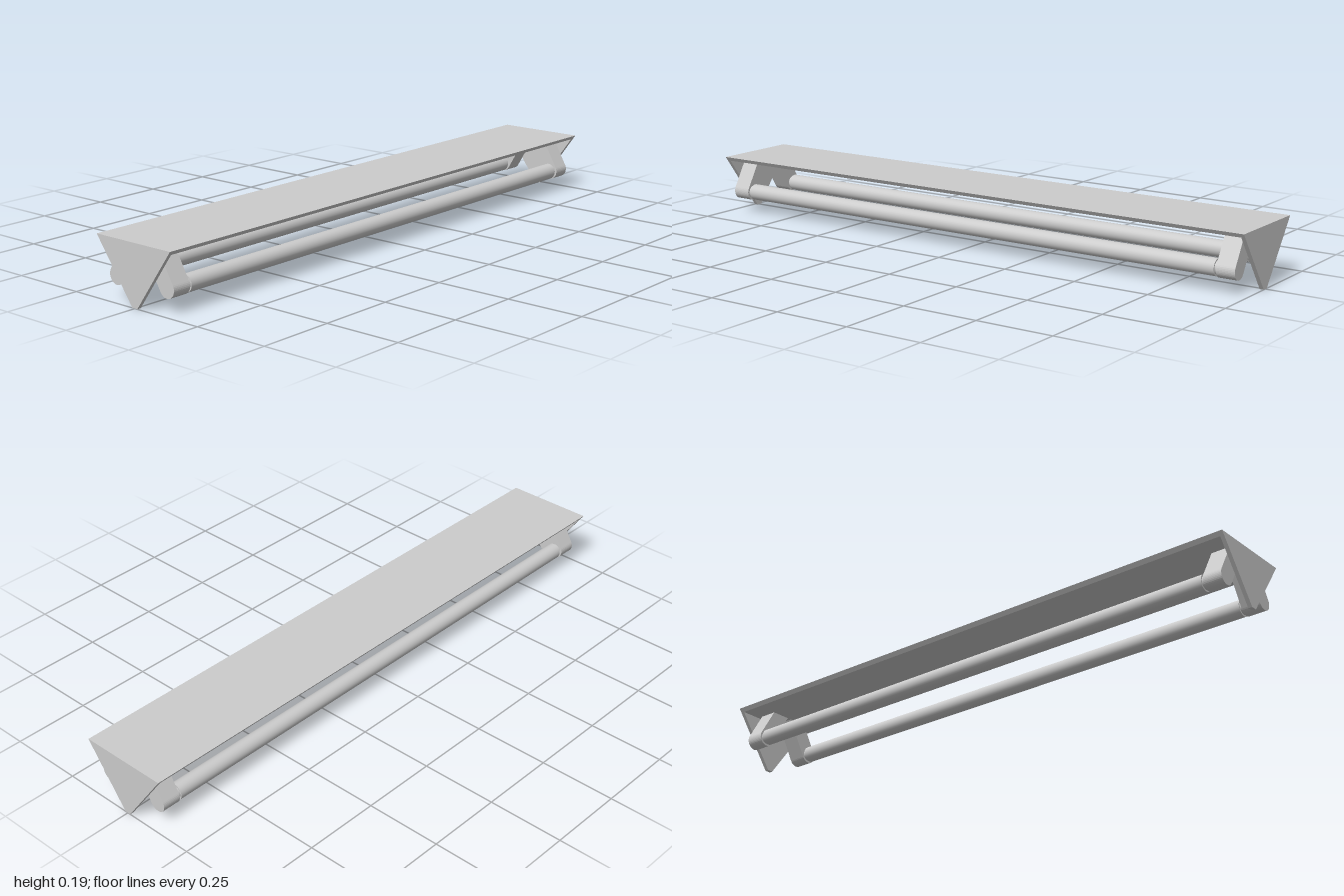
import * as THREE from 'three';

const TOP = 0.193, T = 0.013;
const LAMP_Y = 0.073, ARM_R = 0.029;
const SLOPE = 0.14 / TOP; // outward lean of the end plate sides

function makeShape(points) {
  return new THREE.Shape(points.map(([x, y]) => new THREE.Vector2(x, y)));
}

// Extrude a front profile between two z positions
function slab(name, shape, z0, z1, material) {
  const geometry = new THREE.ExtrudeGeometry(shape, { depth: z1 - z0, bevelEnabled: false, curveSegments: 20 });
  geometry.translate(0, 0, z0);
  const mesh = new THREE.Mesh(geometry, material);
  mesh.name = name;
  return mesh;
}

function rod(name, radius, x, z0, z1, material) {
  const geometry = new THREE.CylinderGeometry(radius, radius, z1 - z0, 32);
  geometry.rotateX(Math.PI / 2);
  const mesh = new THREE.Mesh(geometry, material);
  mesh.position.set(x, LAMP_Y, (z0 + z1) / 2);
  mesh.name = name;
  return mesh;
}

// Slanted arm with a round lower end, cut flat where it meets the top plate
function armShape(cx, side) {
  const c = Math.cos(Math.PI / 6), s = 0.5, topY = TOP - T;
  const points = [];
  for (let i = 0; i <= 20; i++) {
    const a = Math.PI / 6 - (i / 20) * Math.PI;
    points.push([cx + side * ARM_R * Math.cos(a), LAMP_Y + ARM_R * Math.sin(a)]);
  }
  const rise = ([x, y]) => [x - side * (topY - y) * s / c, topY];
  points.push(rise(points[20]), rise(points[0]));
  return makeShape(points);
}

export function createModel() {
  const group = new THREE.Group();
  const grey = new THREE.MeshStandardMaterial({ color: 0xcccccc });

  // Top plate with edges slanted in line with the end plates
  const low = 0.15 - T * SLOPE;
  group.add(slab('topPlate',
    makeShape([[-low, TOP - T], [low, TOP - T], [0.15, TOP], [-0.15, TOP]]), -1 + T, 1 - T, grey));

  // Tapered end plates
  const end = makeShape([[-0.01, 0], [0.01, 0], [0.15, TOP], [-0.15, TOP]]);
  group.add(slab('frontEndPlate', end, 1 - T, 1, grey));
  group.add(slab('backEndPlate', end, -1, -1 + T, grey));

  // Two tubes, each with a pair of holders and narrow end caps
  for (const [label, x, side] of [['left', 0.106, 1], ['right', -0.099, -1]]) {
    const arm = armShape(x, side);
    group.add(slab(label + 'FrontHolder', arm, 0.913, 0.975, grey));
    group.add(slab(label + 'BackHolder', arm, -0.968, -0.907, grey));
    group.add(rod(label + 'TubeCaps', 0.022, x, -0.915, 0.92, grey));
    group.add(rod(label + 'Tube', 0.027, x, -0.899, 0.905, grey));
  }
  return group;
}
